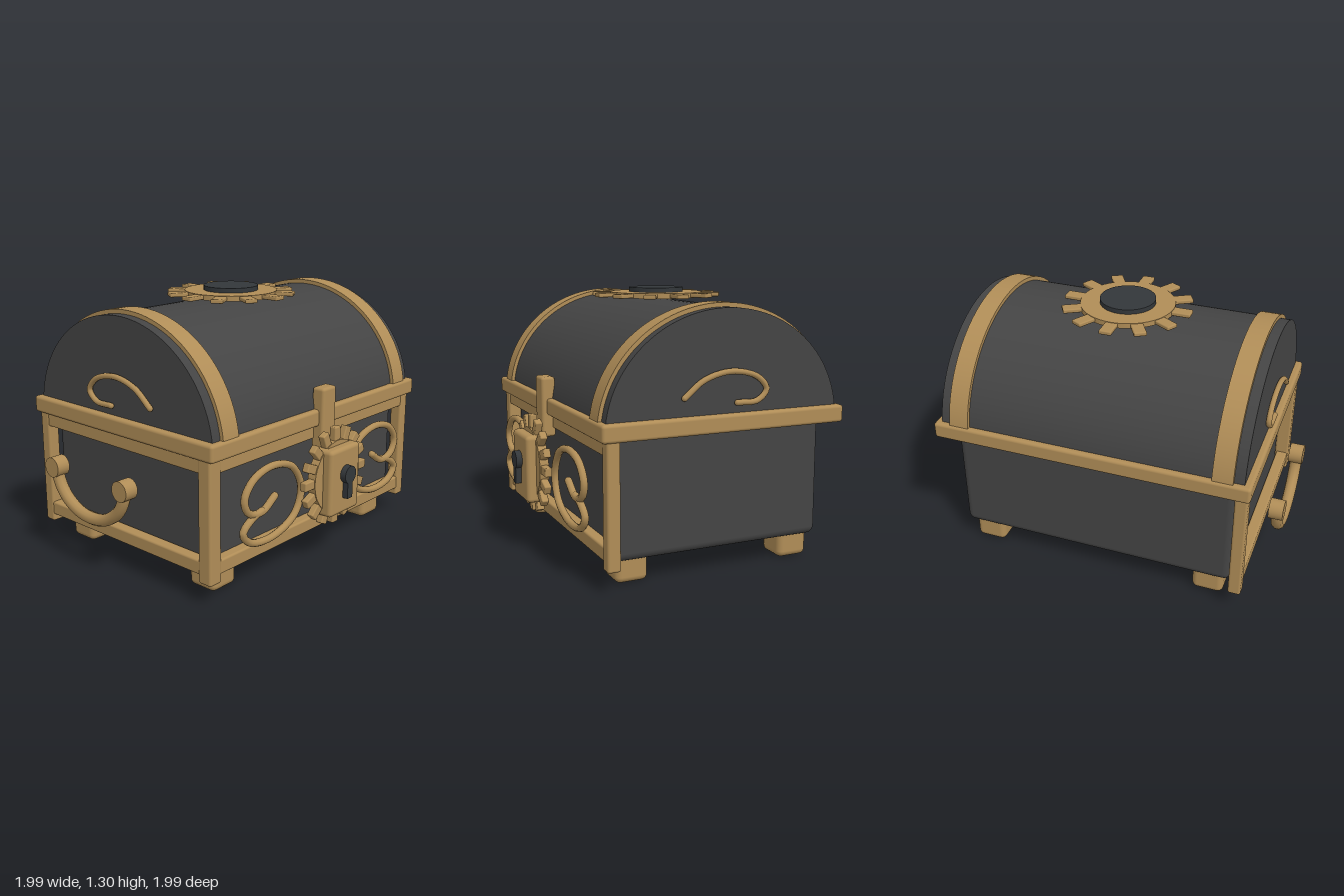
import * as THREE from 'three';
import { RoundedBoxGeometry } from 'three/addons/geometries/RoundedBoxGeometry.js';

const mat = (name, color, side = THREE.FrontSide) => {
  const m = new THREE.MeshStandardMaterial({ color, side });
  m.name = name;
  return m;
};

export function createModel() {
  const black = mat('charcoal', 0x444444);
  const brass = mat('brass', 0xb08d57);
  const iron = mat('dark iron', 0x33373a);

  const model = new THREE.Group();
  model.name = 'treasureChest';
  const chest = new THREE.Group();
  chest.name = 'chest';
  chest.rotation.y = Math.PI / 4; // the chest stands diagonally
  model.add(chest);

  const add = (parent, name, geo, material, x = 0, y = 0, z = 0) => {
    const m = new THREE.Mesh(geo, material);
    m.name = name;
    m.position.set(x, y, z);
    parent.add(m);
    return m;
  };
  const rbox = (w, h, d, r) => new RoundedBoxGeometry(w, h, d, 3, r);
  const tube = (points, r) => {
    const path = new THREE.CatmullRomCurve3(points.map((p) => new THREE.Vector3(...p)));
    return new THREE.TubeGeometry(path, 72, r, 10, false);
  };
  // Tube with rounded ends
  const cappedTube = (name, points, r) => {
    const g = new THREE.Group();
    g.name = name;
    add(g, name + 'Bar', tube(points, r), brass);
    for (const p of [points[0], points[points.length - 1]])
      add(g, name + 'End', new THREE.SphereGeometry(r, 10, 8), brass, ...p);
    chest.add(g);
  };

  // Body, rim and feet
  add(chest, 'body', rbox(1.44, 0.6, 1.07, 0.04), black, 0, 0.415, 0);
  add(chest, 'rim', rbox(1.6, 0.083, 1.23, 0.015), brass, 0, 0.723, 0);
  for (const x of [-0.6, 0.6])
    for (const z of [-0.428, 0.428])
      add(chest, 'foot', rbox(0.16, 0.14, 0.16, 0.03), brass, x, 0.07, z);

  // Domed lid and its two straps
  const dome = (len, depth, height) => {
    const g = new THREE.CylinderGeometry(1, 1, len, 64, 1, false, 0, Math.PI);
    g.rotateZ(Math.PI / 2);
    g.scale(1, height, depth);
    return g;
  };
  add(chest, 'lid', dome(1.53, 0.59, 0.54), black, 0, 0.7, 0);
  for (const s of [-1, 1])
    add(chest, 'lidStrap', dome(0.1, 0.608, 0.56), brass, s * 0.665, 0.7, 0);

  // Frame posts and rails on the front and one end
  for (const [x, z, w] of [[-0.752, 0.555, 0.075], [0.755, 0.558, 0.064], [-0.755, -0.558, 0.064]])
    add(chest, 'post', rbox(w, 0.6, w, 0.012), brass, x, 0.4, z);
  for (const y of [0.172, 0.65]) {
    add(chest, 'frontRail', rbox(1.48, 0.07, 0.06, 0.01), brass, 0, y, 0.556);
    add(chest, 'endRail', rbox(0.06, 0.07, 1.1, 0.01), brass, -0.753, y, 0);
  }

  // Gear lying in the XZ plane, facing up
  const gear = (name, ringR, outerR, count, toothW, thick) => {
    const g = new THREE.Group();
    g.name = name;
    add(g, name + 'Plate', new THREE.CylinderGeometry(ringR, ringR, thick, 48), brass);
    const len = outerR - ringR + 0.03;
    for (let i = 0; i < count; i++) {
      const a = (i / count) * Math.PI * 2;
      const r = outerR - len / 2;
      const tooth = add(g, name + 'Tooth', rbox(len, thick * 0.8, toothW, 0.006), brass,
        Math.cos(a) * r, 0, -Math.sin(a) * r);
      tooth.rotation.y = a;
    }
    chest.add(g);
    return g;
  };
  const topGear = gear('topGear', 0.235, 0.325, 12, 0.062, 0.026);
  topGear.position.y = 1.263;
  add(topGear, 'topDisc', new THREE.CylinderGeometry(0.138, 0.138, 0.03, 48), iron, 0, 0.021, 0);

  const lockGear = gear('lockGear', 0.18, 0.245, 16, 0.045, 0.045);
  lockGear.position.set(0, 0.44, 0.675);
  lockGear.rotation.x = Math.PI / 2;

  // Lock, hasp and keyhole
  add(chest, 'lock', rbox(0.235, 0.335, 0.1, 0.02), brass, 0, 0.428, 0.695);
  add(chest, 'hasp', rbox(0.105, 0.3, 0.07, 0.015), brass, 0, 0.722, 0.605);
  const hole = new THREE.CylinderGeometry(0.044, 0.044, 0.035, 28);
  hole.rotateX(Math.PI / 2);
  add(chest, 'keyhole', hole, iron, 0, 0.462, 0.757);
  add(chest, 'keyholeSlot', new THREE.BoxGeometry(0.04, 0.11, 0.033), iron, 0, 0.398, 0.757);

  // Mirrored scrolls on the front
  const scroll = [[0.397, 0.433], [0.488, 0.38], [0.578, 0.4], [0.608, 0.47], [0.548, 0.55],
    [0.412, 0.583], [0.268, 0.54], [0.2, 0.417], [0.246, 0.3], [0.412, 0.235],
    [0.571, 0.257], [0.616, 0.315], [0.548, 0.37], [0.488, 0.385]];
  // Mirrored curls on the lid ends
  const curl = [[0.22, 0.85], [0.121, 0.925], [-0.016, 0.957], [-0.15, 0.925],
    [-0.197, 0.866], [-0.152, 0.818], [-0.046, 0.813]];
  for (const s of [-1, 1]) {
    cappedTube('frontScroll', scroll.map(([x, y]) => [s * x, y, 0.63]), 0.018);
    cappedTube('lidCurl', curl.map(([z, y]) => [s * 0.78, y, z]), 0.014);
  }

  // Drop handle on one end
  const arc = [];
  for (let i = 0; i <= 12; i++) {
    const a = (i / 12) * Math.PI;
    arc.push([-0.885, 0.475 - Math.sin(a) * 0.205, -0.095 - Math.cos(a) * 0.245]);
  }
  cappedTube('handle', arc, 0.03);
  for (const z of [-0.34, 0.15]) {
    const boss = new THREE.CylinderGeometry(0.05, 0.05, 0.07, 24);
    boss.rotateZ(Math.PI / 2);
    add(chest, 'handleBoss', boss, brass, -0.885, 0.475, z);
  }
  return model;
}
